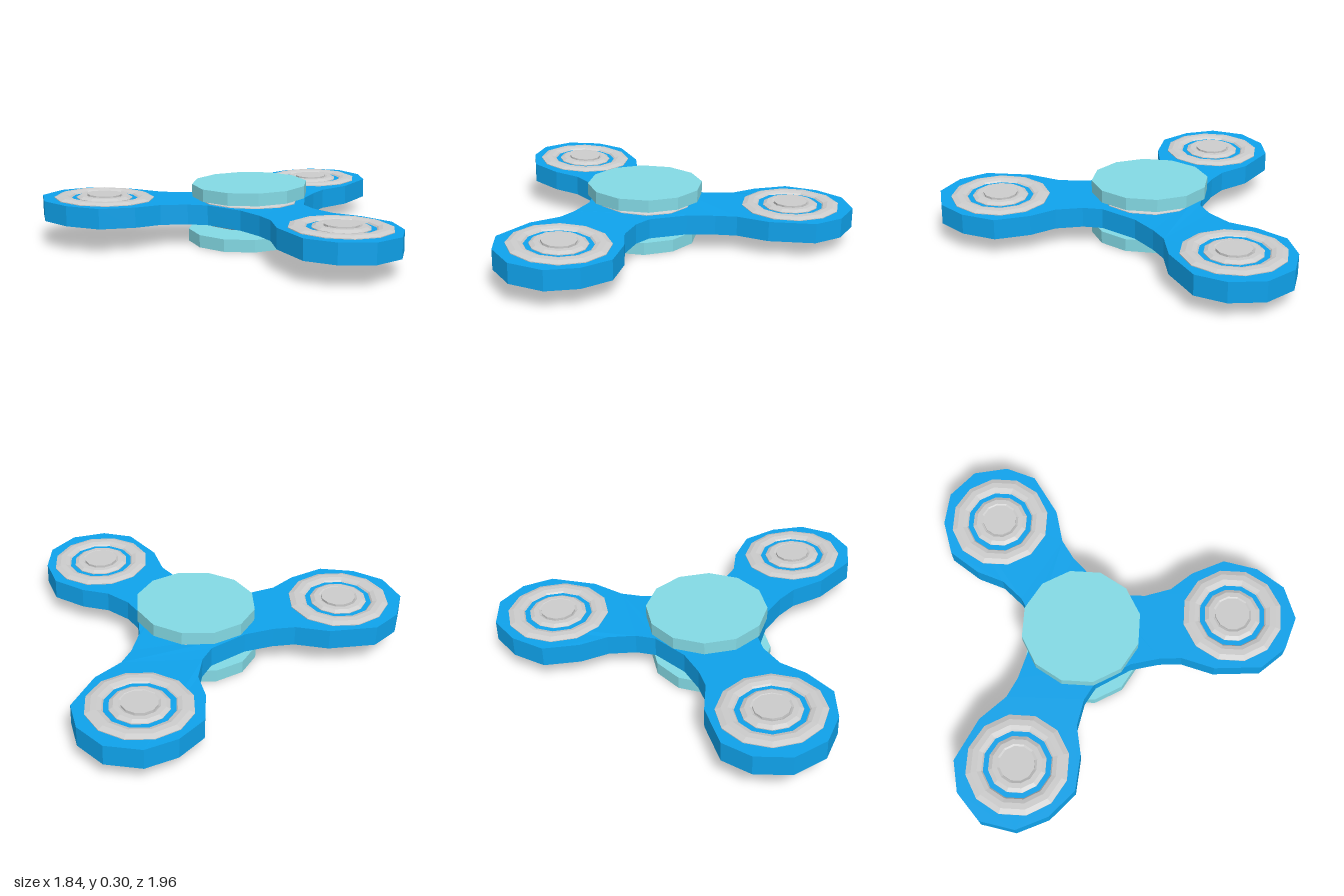
import * as THREE from 'three';

const CENTRE = { x: -0.16, z: 0.035 };
const HALF = 0.052; // half thickness of the body
const SIDES = 12;

// The body sits slightly askew: level at the back, rising to the front
const slope = z => (z > -0.35 ? 0.04 : 0);
const lift = z => 0.138 + slope(z) * (z + 0.35);

const material = color => new THREE.MeshStandardMaterial({ color, flatShading: true });
const blue = material(0x0fa2eb);
const teal = material(0x83d9e4);
const grey = material(0xcccccc);

function mesh(name, geometry, mat) {
  const m = new THREE.Mesh(geometry, mat);
  m.name = name;
  return m;
}

// Turn a point (relative to the hub) by a third of a circle, k times
function turned([x, z], k) {
  const a = (k * Math.PI * 2) / 3;
  return new THREE.Vector2(
    CENTRE.x + x * Math.cos(a) - z * Math.sin(a),
    CENTRE.z + x * Math.sin(a) + z * Math.cos(a));
}

// Three-armed plate: one arm outline repeated around the hub
function makeBody() {
  const arm = [
    [0.25, -0.15], [0.35, -0.125], [0.49, -0.135], [0.62, -0.20], [0.80, -0.235],
    [0.96, -0.155], [1.07, -0.025], [1.085, 0.155], [0.99, 0.305], [0.845, 0.38],
    [0.61, 0.337], [0.46, 0.25], [0.35, 0.23], [0.20, 0.23],
  ];
  const outline = [0, 1, 2].flatMap(k => arm.map(p => turned(p, k)));
  const geometry = new THREE.ExtrudeGeometry(new THREE.Shape(outline),
    { depth: HALF * 2, bevelEnabled: false });
  geometry.rotateX(Math.PI / 2).translate(0, HALF, 0);
  const p = geometry.attributes.position;
  for (let i = 0; i < p.count; i++) p.setY(i, p.getY(i) + lift(p.getZ(i)));
  geometry.computeVertexNormals();
  return mesh('body', geometry, blue);
}

// Ring from an upper half profile (inside to outside), mirrored below
function ring(name, upper) {
  const lower = upper.map(([r, y]) => [r, -y]);
  const loop = [...lower, ...upper.slice().reverse(), lower[0]];
  return mesh(name, new THREE.LatheGeometry(
    loop.map(([r, y]) => new THREE.Vector2(r, y)), SIDES), grey);
}

// Bearing: outer race, inner race and pin, showing on both faces
function makeBearing(name) {
  const bearing = new THREE.Group();
  bearing.name = name;
  bearing.add(
    ring('outerRace', [[0.165, 0.045], [0.178, 0.06], [0.2, 0.067], [0.23, 0.066], [0.257, 0.056]]),
    ring('innerRace', [[0.085, 0.06], [0.1, 0.068], [0.125, 0.067], [0.145, 0.056]]),
    mesh('pin', new THREE.CylinderGeometry(0.088, 0.088, 0.146, SIDES), grey));
  return bearing;
}

export function createModel() {
  const model = new THREE.Group();
  model.name = 'spinner';
  model.add(makeBody());

  // Bearings at the arm ends
  ['left', 'front', 'back'].forEach((side, k) => {
    const { x, y: z } = turned([0.768, 0.075], k);
    const bearing = makeBearing(side + 'Bearing');
    bearing.position.set(x, lift(z), z);
    bearing.rotation.x = -slope(z);
    model.add(bearing);
  });

  // Hub bearing and the axle holding the two finger caps
  const hub = makeBearing('hubBearing');
  hub.position.set(-0.17, lift(0.05), 0.05);
  hub.rotation.x = -slope(0);
  model.add(hub);
  const axle = mesh('axle', new THREE.CylinderGeometry(0.088, 0.088, 0.22, SIDES), grey);
  axle.position.set(-0.17, 0.15, 0.05);
  model.add(axle);

  // Finger caps
  for (const [name, y, z] of [['topCap', 0.2675, 0.04], ['bottomCap', 0.0325, 0.065]]) {
    const cap = mesh(name, new THREE.CylinderGeometry(0.304, 0.304, 0.065, SIDES), teal);
    cap.position.set(-0.17, y, z);
    model.add(cap);
  }
  return model;
}
